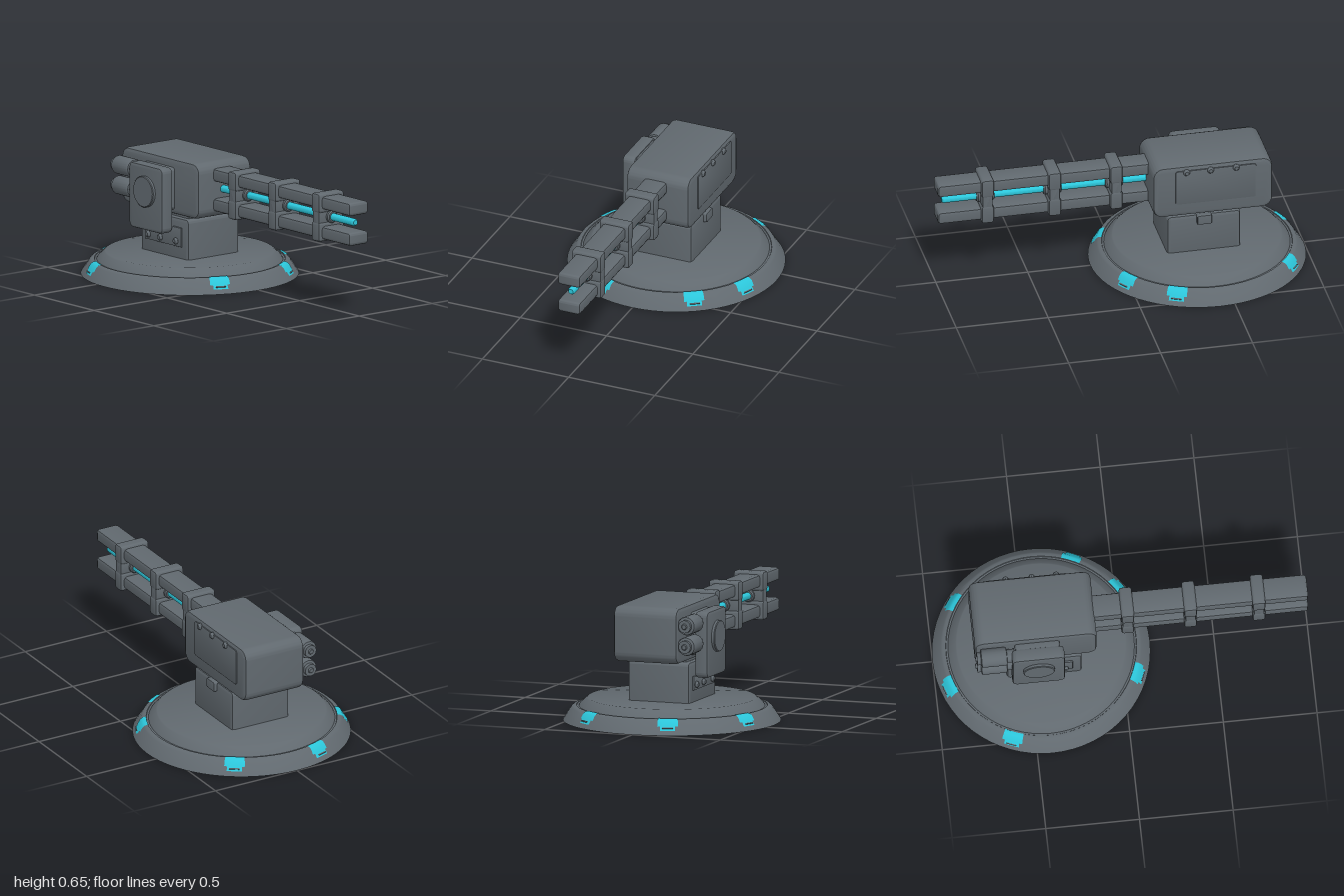
import * as THREE from 'three';
import { toCreasedNormals } from 'three/addons/utils/BufferGeometryUtils.js';

const gunmetal = new THREE.MeshStandardMaterial({ color: 0x61696f });
gunmetal.name = 'gunmetal grey';
const cyan = new THREE.MeshStandardMaterial({ color: 0x2cc6da });
cyan.name = 'glow cyan';

export function createModel() {
  const model = new THREE.Group();
  model.name = 'turret';

  const add = (parent, name, geo, mat, x = 0, y = 0, z = 0) => {
    const mesh = new THREE.Mesh(toCreasedNormals(geo, 0.6), mat);
    mesh.name = name;
    mesh.position.set(x, y, z);
    parent.add(mesh);
    return mesh;
  };
  const group = (name) => {
    const g = new THREE.Group();
    g.name = name;
    model.add(g);
    return g;
  };

  // Shape extruded along z and centred on z = 0, with bevels kept inside its outline
  const extrude = (shape, depth, bevel) => {
    const geo = new THREE.ExtrudeGeometry(shape, {
      depth: depth - 2 * bevel, bevelEnabled: bevel > 0, bevelSize: bevel,
      bevelThickness: bevel, bevelOffset: -bevel, bevelSegments: 2, curveSegments: 6,
    });
    return geo.translate(0, 0, -depth / 2 + bevel);
  };
  // Block with corner radius r in its outline and a bevel on its two flat faces
  const block = (w, h, d, r, bevel) => {
    const a = w / 2 - r, b = h / 2 - r, s = new THREE.Shape();
    s.absarc(a, b, r, 0, Math.PI / 2);
    s.absarc(-a, b, r, Math.PI / 2, Math.PI);
    s.absarc(-a, -b, r, Math.PI, Math.PI * 1.5);
    s.absarc(a, -b, r, Math.PI * 1.5, Math.PI * 2);
    return extrude(s, d, bevel);
  };
  // Turned solids from [radius, height] pairs
  const lathe = (pts, seg = 24, start = 0, length = Math.PI * 2) =>
    new THREE.LatheGeometry(pts.map(([r, y]) => new THREE.Vector2(r, y)), seg, start, length);
  const bolt = (parent, x, y, z, dir) => add(parent, 'bolt',
    lathe([[0.018, -0.01], [0.018, 0.008], [0.011, 0.018], [0, 0.018]], 10).rotateX(dir * Math.PI / 2),
    gunmetal, x, y, z);

  // Round base with a stepped rim
  const base = group('base');
  base.position.x = -0.42;
  add(base, 'baseDisc', lathe([[0, 0], [0.58, 0], [0.534, 0.07], [0.524, 0.077], [0.507, 0.08],
    [0.505, 0.076], [0.495, 0.076], [0.49, 0.084], [0.455, 0.118], [0.448, 0.122], [0, 0.122]], 64), gunmetal);

  // Six lamps wrapped over the rim, narrower at the foot
  const lampSpots = [[0.22, -0.5], [0.45, -0.3], [0.49, 0.2], [-0.2, 0.49], [-0.5, 0.17], [-0.44, -0.3]];
  for (const [x, z] of lampSpots) {
    const phi = Math.atan2(x, z);
    add(base, 'rimLamp', lathe([[0.552, 0.046], [0.537, 0.071], [0.525, 0.08], [0.507, 0.083]], 6,
      phi - 0.1, 0.2), cyan);
    add(base, 'rimLampFoot', lathe([[0.566, 0.025], [0.552, 0.046]], 4, phi - 0.072, 0.144), cyan);
    add(base, 'rimLampSlot', lathe([[0.564, 0.034], [0.567, 0.038], [0.561, 0.042]], 4,
      phi - 0.05, 0.1), gunmetal);
  }

  // Pedestal and neck
  const pedestal = group('pedestal');
  add(pedestal, 'pedestalBlock', block(0.4, 0.24, 0.35, 0.022, 0.018), gunmetal, -0.42, 0.22, 0);
  add(pedestal, 'neck', block(0.35, 0.06, 0.3, 0.01, 0.01), gunmetal, -0.42, 0.345, 0);
  const plate = new THREE.Shape([[-0.57, 0.185], [-0.27, 0.185], [-0.27, 0.29], [-0.34, 0.29],
    [-0.37, 0.26], [-0.57, 0.26]].map(([x, y]) => new THREE.Vector2(x, y)));
  add(pedestal, 'boltedPlate', extrude(plate, 0.03, 0.005), gunmetal, 0, 0, 0.17);
  for (const x of [-0.54, -0.44, -0.31]) bolt(pedestal, x, 0.215, 0.182, 1);
  add(pedestal, 'backLatch', block(0.08, 0.055, 0.04, 0.008, 0.008), gunmetal, -0.42, 0.312, -0.175);

  // Main housing with bolted cover on the back
  const housing = group('housing');
  add(housing, 'housingBlock', block(0.65, 0.3, 0.362, 0.055, 0.02), gunmetal, -0.465, 0.5, -0.012);
  add(housing, 'backCover', block(0.44, 0.2, 0.016, 0.015, 0.004), gunmetal, -0.48, 0.525, -0.191);
  for (const x of [-0.32, -0.45, -0.59]) bolt(housing, x, 0.615, -0.193, -1);

  // Side gearbox with a round cap
  const gearbox = group('sideGearbox');
  add(gearbox, 'gearboxMount', block(0.24, 0.23, 0.07, 0.02, 0.005), gunmetal, -0.46, 0.49, 0.18);
  add(gearbox, 'gearboxCase', block(0.28, 0.355, 0.075, 0.03, 0.014), gunmetal, -0.46, 0.435, 0.235);
  add(gearbox, 'gearboxCap', lathe([[0.084, 0], [0.084, 0.024], [0.08, 0.028], [0, 0.028]], 32)
    .rotateX(Math.PI / 2), gunmetal, -0.46, 0.47, 0.262);

  // Two canisters beside the gearbox
  for (const y of [0.56, 0.45]) {
    add(gearbox, 'canister', lathe([[0, 0], [0.034, 0], [0.034, 0.02], [0.047, 0.024], [0.05, 0.032],
      [0.05, 0.15], [0.045, 0.158], [0.036, 0.16], [0.036, 0.2], [0, 0.2]]).rotateZ(-Math.PI / 2),
    gunmetal, -0.785, y, 0.212);
    add(gearbox, 'canisterNub', lathe([[0, 0], [0.012, 0], [0.016, 0.006], [0.016, 0.02]], 10)
      .rotateZ(-Math.PI / 2), gunmetal, -0.793, y, 0.212);
  }

  // Twin rails, energy rod and three clamps
  const gun = group('gun');
  for (const y of [0.582, 0.42]) {
    add(gun, 'rail', block(1.17, 0.07, 0.132, 0.016, 0.018), gunmetal, 0.415, y, 0);
  }
  add(gun, 'energyRod', lathe([[0, 0], [0.02, 0], [0.02, 1.125], [0.014, 1.135], [0, 1.135]], 20)
    .rotateZ(-Math.PI / 2), cyan, -0.165, 0.502, 0);
  for (const x of [0.035, 0.37, 0.735]) {
    for (const y of [0.58, 0.425]) {
      add(gun, 'clampBand', block(0.068, 0.104, 0.172, 0.015, 0.012), gunmetal, x, y, 0);
    }
    add(gun, 'clampWeb', block(0.056, 0.12, 0.166, 0.004, 0.008), gunmetal, x, 0.502, 0);
    add(gun, 'rodCollar', lathe([[0, -0.048], [0.028, -0.048], [0.034, -0.04], [0.034, 0.04],
      [0.028, 0.048], [0, 0.048]], 16).rotateZ(-Math.PI / 2), gunmetal, x, 0.502, 0);
  }
  return model;
}
